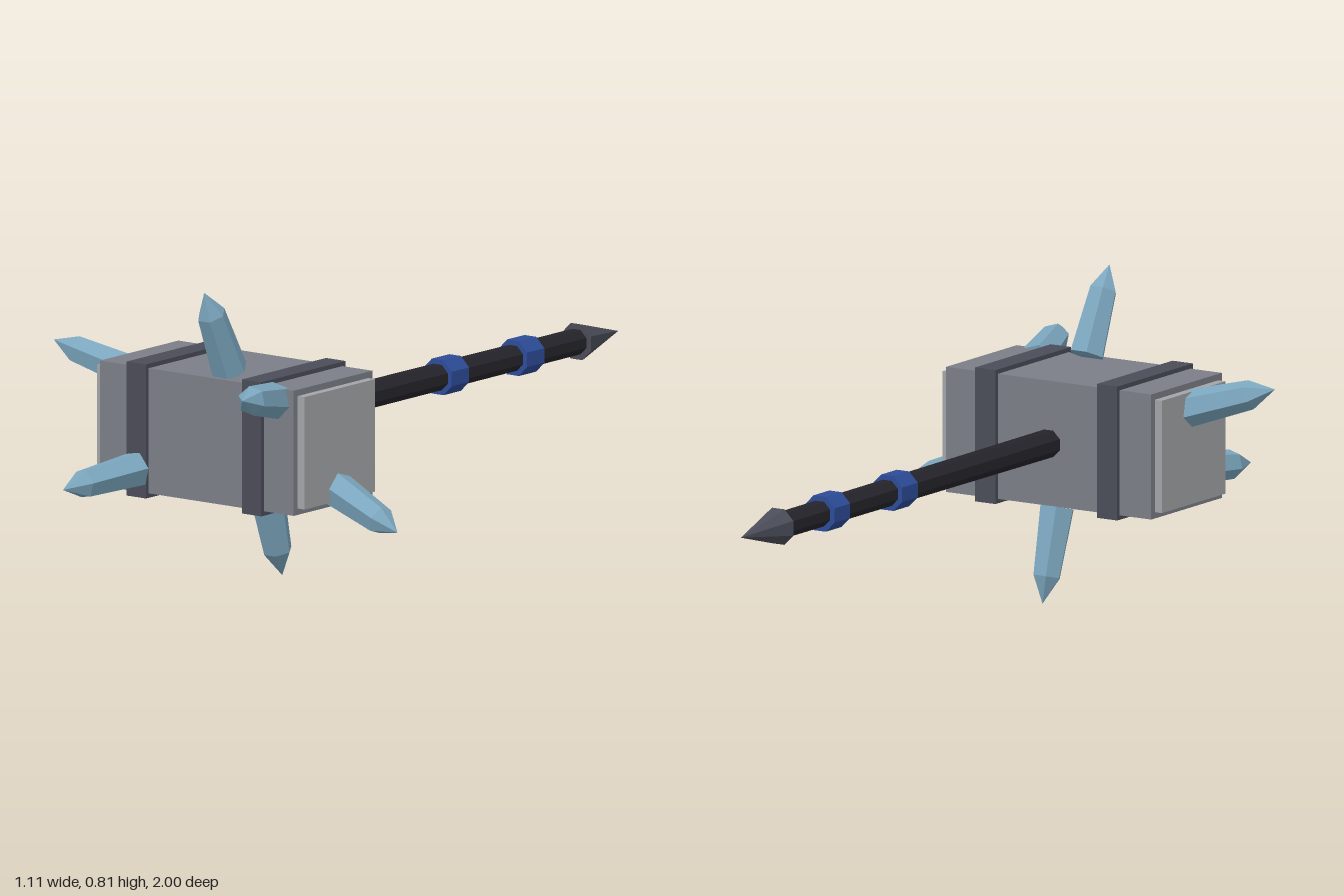
import * as THREE from 'three';

const mat = (name, color) => {
  const m = new THREE.MeshStandardMaterial({ color });
  m.name = name;
  return m;
};

// Flat-faced geometry: every triangle keeps its own normal
const faceted = (geometry) => {
  const g = geometry.toNonIndexed();
  g.computeVertexNormals();
  return g;
};

export function createModel() {
  const stone = mat('stone grey', 0x7b7e87);
  const paleStone = mat('pale stone', 0xa2a4a7);
  const iron = mat('dark iron', 0x4a4c58);
  const grip = mat('black grip', 0x25242b);
  const blue = mat('blue ring', 0x2d4c98);
  const ice = mat('ice blue', 0x7ba6be);

  const model = new THREE.Group();
  model.name = 'warHammer';
  const add = (name, geometry, material, x, y, z) => {
    const mesh = new THREE.Mesh(geometry, material);
    mesh.name = name;
    mesh.position.set(x, y, z);
    model.add(mesh);
    return mesh;
  };

  const cy = 0.417, cz = 0.579;

  // Head block with end plates and iron bands
  add('headBlock', new THREE.BoxGeometry(0.626, 0.325, 0.325), stone, 0, cy, cz);
  for (const side of [-1, 1]) {
    add('endPlate', new THREE.BoxGeometry(0.05, 0.292, 0.292), paleStone, side * 0.31, cy, cz);
    add('headBand', new THREE.BoxGeometry(0.062, 0.348, 0.348), iron, side * 0.186, cy, cz);
  }

  // Eight-sided rods along z; the top radius faces the back
  const rod = (name, rBack, rFront, zBack, zFront, material) => {
    const g = new THREE.CylinderGeometry(rBack, rFront, zFront - zBack, 8);
    g.rotateY(Math.PI / 8).rotateX(-Math.PI / 2);
    add(name, faceted(g), material, 0, cy, (zBack + zFront) / 2);
  };
  rod('handle', 0.034, 0.037, -0.84, 0.45, grip);
  rod('pommelSpike', 0, 0.05, -1, -0.828, iron);
  for (const z of [-0.29, -0.601]) rod('handleRing', 0.049, 0.049, z - 0.036, z + 0.036, blue);

  // Six-sided ice crystals, each from its base centre to its tip
  const up = new THREE.Vector3(0, 1, 0);
  const crystal = (base, tip) => {
    const a = new THREE.Vector3(...base);
    const dir = new THREE.Vector3(...tip).sub(a);
    const len = dir.length();
    const profile = [[0, 0], [0.048, 0], [0.038, 0.72 * len], [0, len]];
    const g = new THREE.LatheGeometry(profile.map((p) => new THREE.Vector2(...p)), 6);
    g.rotateY(Math.PI / 6);
    const mesh = add('iceCrystal', faceted(g), ice, ...base);
    mesh.quaternion.setFromUnitVectors(up, dir.normalize());
  };
  crystal([0.062, 0.592, 0.685], [0.062, 0.81, 0.79]);
  crystal([0, 0.244, 0.455], [0, 0.005, 0.388]);
  crystal([-0.322, 0.517, 0.575], [-0.555, 0.585, 0.622]);
  crystal([0.322, 0.299, 0.575], [0.555, 0.222, 0.622]);
  crystal([0.25, 0.545, 0.735], [0.317, 0.588, 0.96]);
  crystal([-0.188, 0.315, 0.75], [-0.234, 0.294, 0.995]);

  return model;
}
